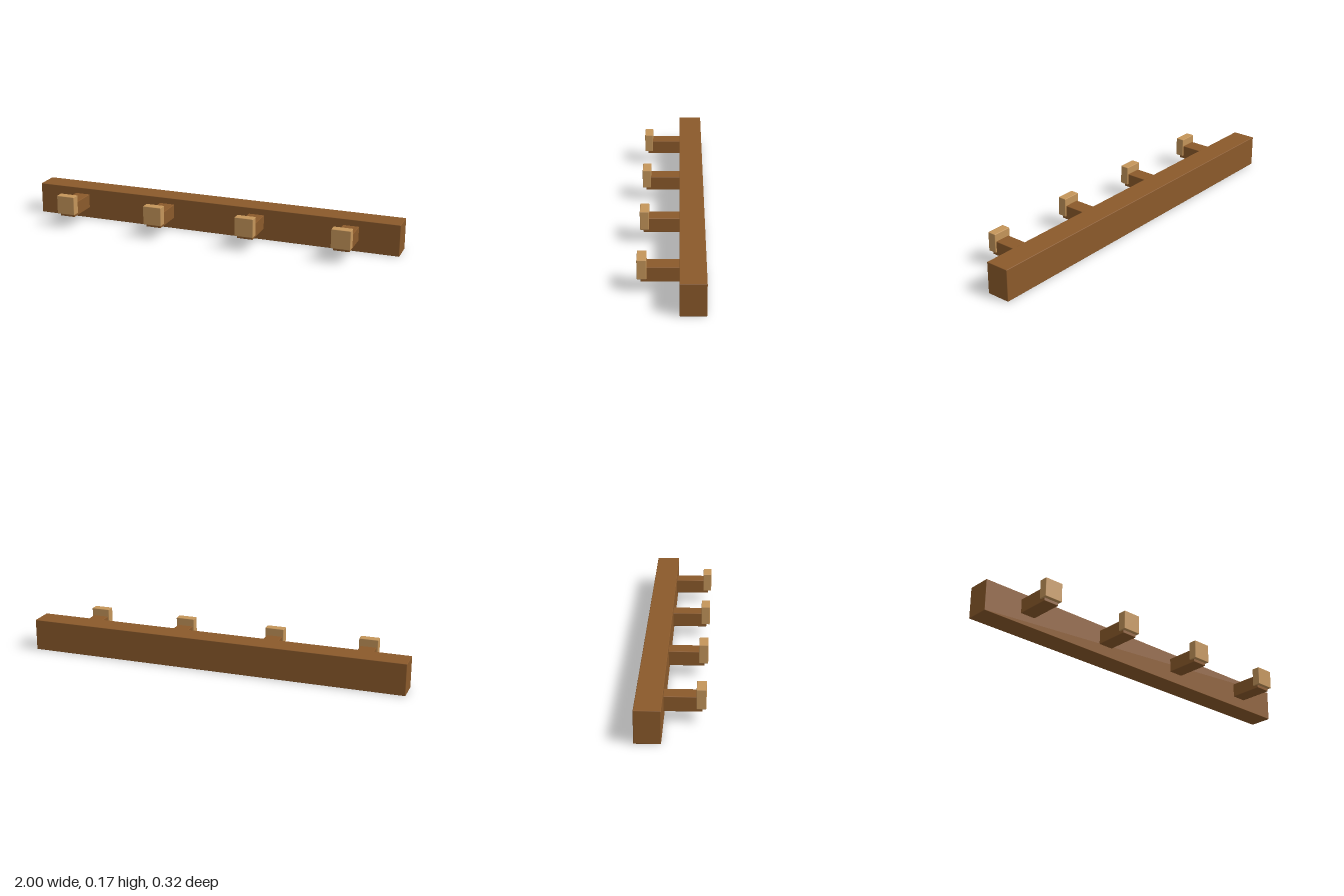
import * as THREE from 'three';
import { RoundedBoxGeometry } from 'three/addons/geometries/RoundedBoxGeometry.js';

const darkWood = new THREE.MeshStandardMaterial({ name: 'dark wood', color: 0x8b5a2b });
const lightWood = new THREE.MeshStandardMaterial({ name: 'light wood', color: 0xc4955a });

// Block with slightly eased edges, given by its width and its y and z extents
function block(name, width, [y0, y1], [z0, z1], material) {
  const geometry = new RoundedBoxGeometry(width, y1 - y0, z1 - z0, 2, 0.003);
  const mesh = new THREE.Mesh(geometry, material);
  mesh.name = name;
  mesh.position.set(0, (y0 + y1) / 2, (z0 + z1) / 2);
  return mesh;
}

export function createModel() {
  const model = new THREE.Group();
  model.name = 'pegRail';

  // Long wall rail
  model.add(block('rail', 2, [0, 0.165], [-0.16, -0.036], darkWood));

  // Four pegs, each an arm sunk into the rail with an upright end cap
  for (const x of [-0.749, -0.25, 0.25, 0.749]) {
    const peg = new THREE.Group();
    peg.name = 'peg';
    peg.position.x = x;
    peg.add(block('pegArm', 0.083, [0.057, 0.132], [-0.05, 0.142], darkWood));
    peg.add(block('pegCap', 0.099, [0.073, 0.172], [0.115, 0.16], lightWood));
    model.add(peg);
  }
  return model;
}
